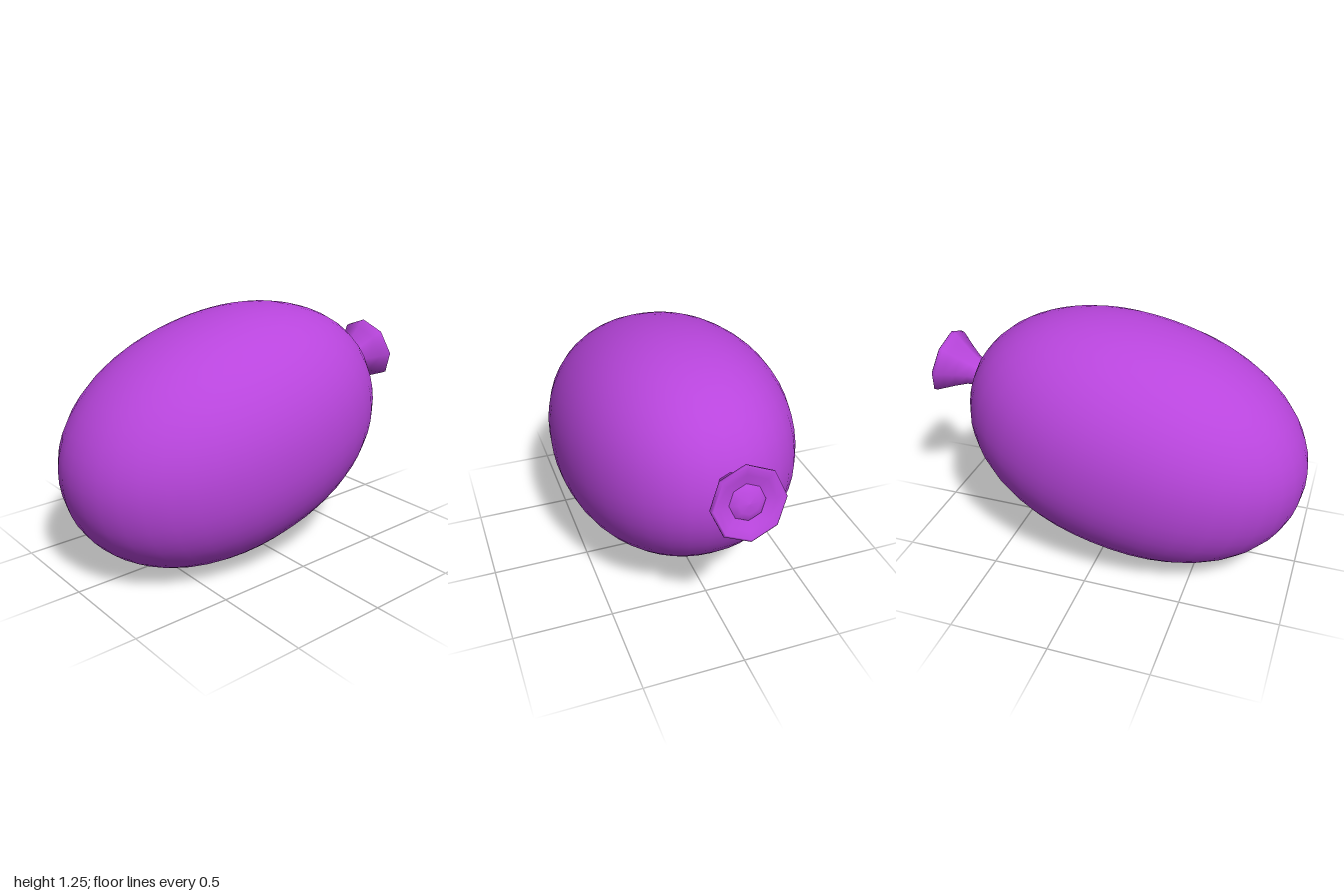
import * as THREE from 'three';

const material = new THREE.MeshStandardMaterial({ color: 0xb845dc });

function addMesh(parent, name, geometry) {
  const mesh = new THREE.Mesh(geometry, material);
  mesh.name = name;
  parent.add(mesh);
}

// Slightly full ellipsoid, long along x
function bodyGeometry(a, b, c, power) {
  const geometry = new THREE.SphereGeometry(1, 40, 28);
  const pos = geometry.attributes.position;
  const nor = geometry.attributes.normal;
  const v = new THREE.Vector3();
  const n = new THREE.Vector3();
  const slope = (t) => Math.sign(t) * Math.abs(t) ** (power - 1);
  for (let i = 0; i < pos.count; i++) {
    v.fromBufferAttribute(pos, i);
    const sum = Math.abs(v.x) ** power + Math.abs(v.y) ** power + Math.abs(v.z) ** power;
    v.multiplyScalar(sum ** (-1 / power));
    n.set(slope(v.x) / a, slope(v.y) / b, slope(v.z) / c).normalize();
    pos.setXYZ(i, v.x * a, v.y * b, v.z * c);
    nor.setXYZ(i, n.x, n.y, n.z);
  }
  return geometry;
}

// Eight-sided turned part along x, from [radius, x] pairs
function turned(profile) {
  return new THREE.LatheGeometry(profile.map(([r, x]) => new THREE.Vector2(r, x)), 8)
    .rotateZ(-Math.PI / 2);
}

export function createModel() {
  const model = new THREE.Group();
  model.name = 'balloon';

  // Everything lies along one tilted axis
  const balloon = new THREE.Group();
  balloon.name = 'tiltedBalloon';
  balloon.position.set(-0.115, 0.63, 0);
  balloon.rotation.z = THREE.MathUtils.degToRad(13.5);
  model.add(balloon);

  addMesh(balloon, 'body', bodyGeometry(0.9, 0.6, 0.6, 2.12));

  // Flared knot with a rolled rim and a shallow dished end
  addMesh(balloon, 'knot', turned([
    [0.065, 0.84], [0.068, 0.89], [0.085, 0.94], [0.118, 0.995], [0.152, 1.045],
    [0.174, 1.078], [0.176, 1.096], [0.165, 1.102], [0.13, 1.09], [0.085, 1.075],
  ]));

  // Small dome in the middle of the knot's end
  addMesh(balloon, 'knotCentre', turned([
    [0.09, 1.066], [0.082, 1.08], [0.05, 1.094], [0, 1.1],
  ]));

  return model;
}
